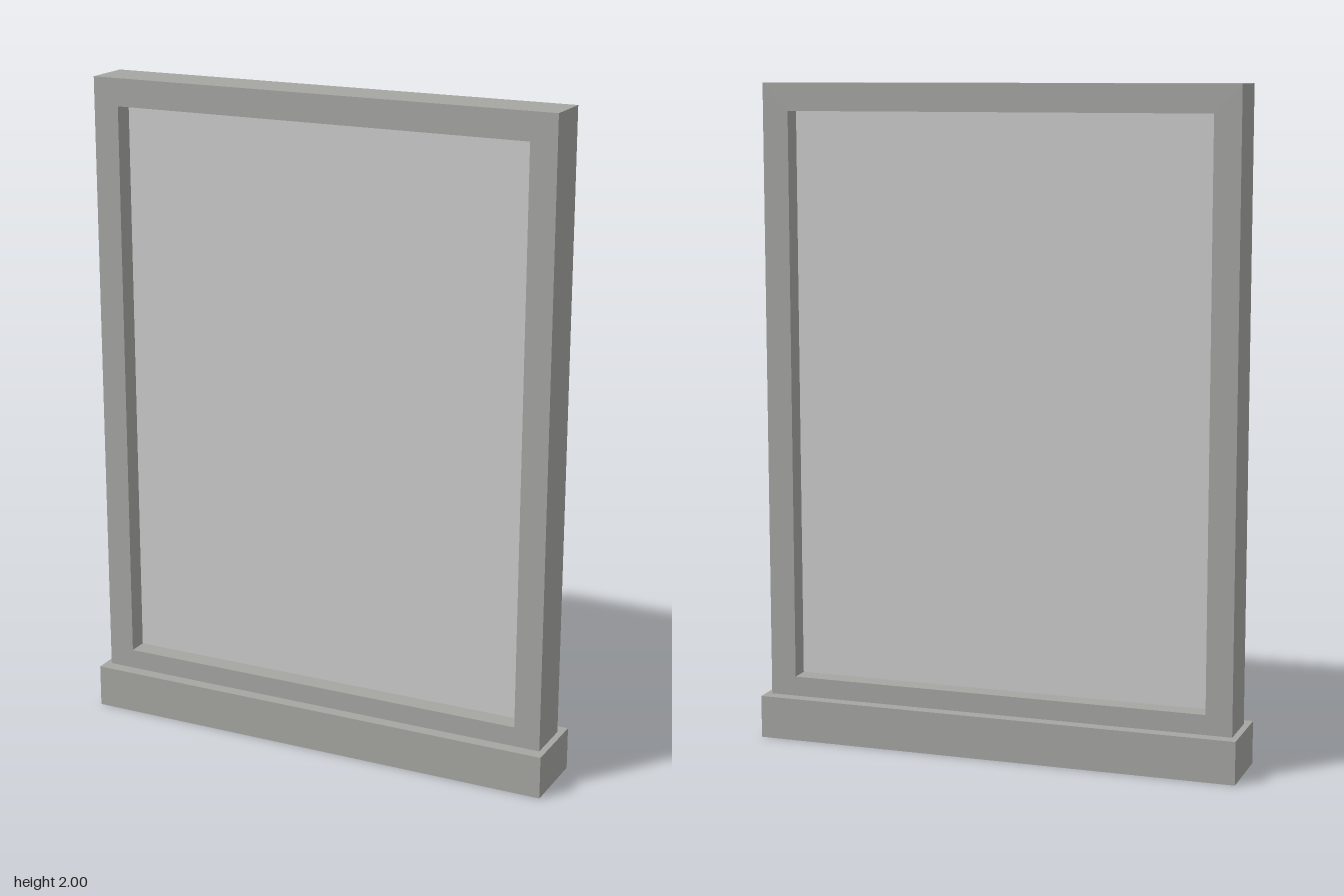
import * as THREE from 'three';

const frameMaterial = new THREE.MeshStandardMaterial({ color: 0xa5a5a2 });
const paneMaterial = new THREE.MeshStandardMaterial({ color: 0xcccccc });

// Rectangle outline, usable as a shape or a hole
function rectangle(Type, x, y0, y1) {
  const path = new Type();
  path.moveTo(-x, y0);
  path.lineTo(x, y0);
  path.lineTo(x, y1);
  path.lineTo(-x, y1);
  path.closePath();
  return path;
}

function box(name, w, h, d, y, material) {
  const mesh = new THREE.Mesh(new THREE.BoxGeometry(w, h, d), material);
  mesh.name = name;
  mesh.position.y = y;
  return mesh;
}

export function createModel() {
  const model = new THREE.Group();
  model.name = 'window';

  // Sill the frame stands on
  model.add(box('sill', 1.494, 0.13, 0.226, 0.065, frameMaterial));

  // Frame with one large opening
  const depth = 0.148;
  const outline = rectangle(THREE.Shape, 0.728, 0.13, 2);
  outline.holes.push(rectangle(THREE.Path, 0.648, 0.19, 1.917));
  const geometry = new THREE.ExtrudeGeometry(outline, { depth, bevelEnabled: false });
  geometry.translate(0, 0, -depth / 2);
  const frame = new THREE.Mesh(geometry, frameMaterial);
  frame.name = 'frame';
  model.add(frame);

  // Thin pane filling the opening, set back equally from both sides
  model.add(box('pane', 1.296, 1.727, 0.026, 1.0535, paneMaterial));

  return model;
}
